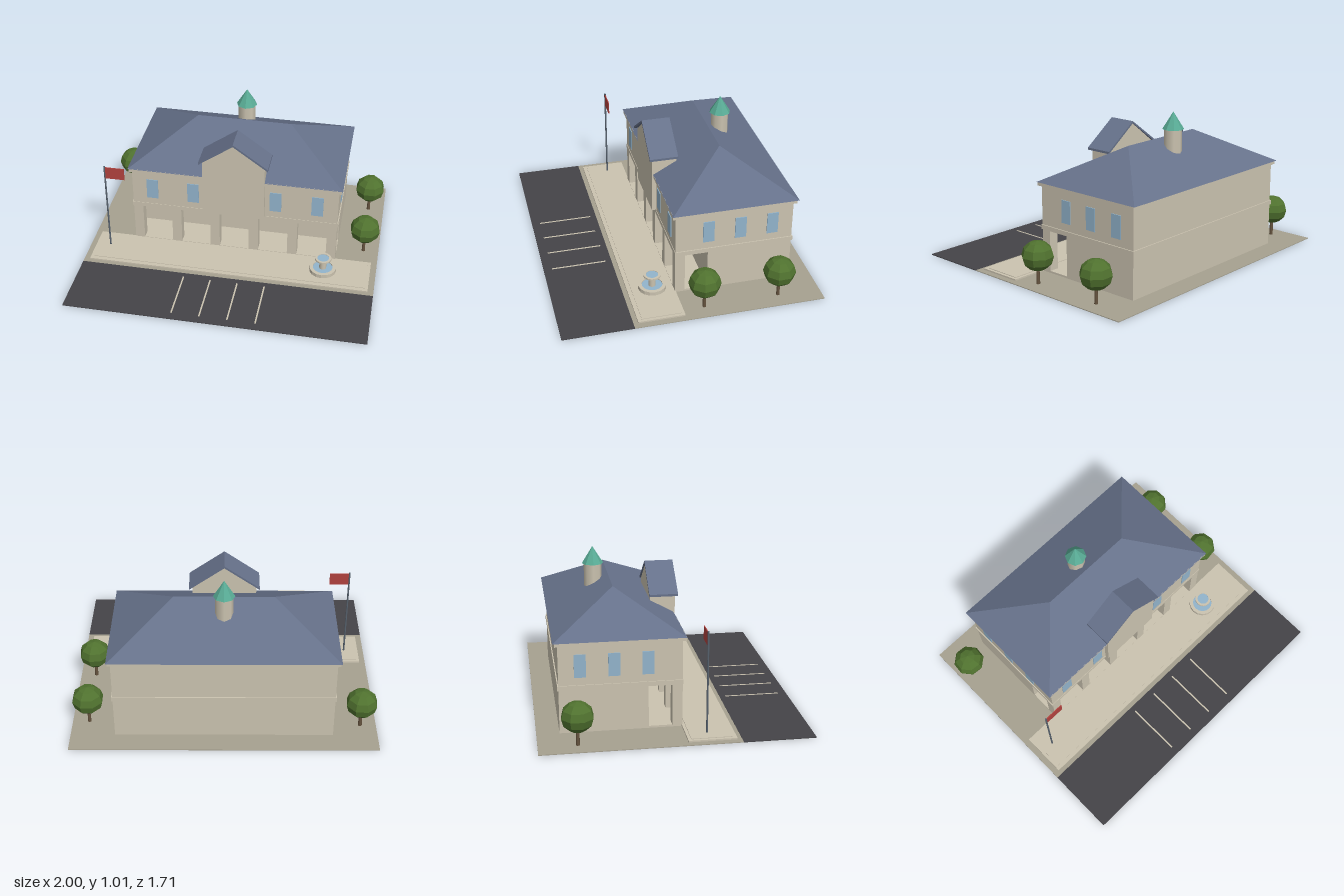
import * as THREE from 'three';

const mat = (name, color, extra = {}) => {
  const m = new THREE.MeshStandardMaterial({ color, ...extra });
  m.name = name;
  return m;
};

export function createModel() {
  const root = new THREE.Group();
  root.name = 'townHall';
  const stone = mat('stone', 0xcbc3b0), slate = mat('slate', 0x66718a, { flatShading: true });
  const asphalt = mat('asphalt', 0x454448), ground = mat('ground', 0xa6a190);
  const glass = mat('glass', 0x92b4cc), red = mat('flagRed', 0xb2423e);
  const copper = mat('copper', 0x58aa94, { flatShading: true });
  const leaf = mat('leaf', 0x50722f, { flatShading: true });
  const bark = mat('bark', 0x66543f), steel = mat('steel', 0x596470);

  const add = (name, geo, material, x = 0, y = 0, z = 0, parent = root) => {
    const m = new THREE.Mesh(geo, material);
    m.name = name;
    m.position.set(x, y, z);
    parent.add(m);
    return m;
  };
  // Box given by its limits on each axis
  const box = (name, material, x0, x1, y0, y1, z0, z1, parent = root) =>
    add(name, new THREE.BoxGeometry(x1 - x0, y1 - y0, z1 - z0), material,
      (x0 + x1) / 2, (y0 + y1) / 2, (z0 + z1) / 2, parent);
  const cyl = (name, material, rt, rb, y0, y1, x, z, n, parent = root) =>
    add(name, new THREE.CylinderGeometry(rt, rb, y1 - y0, n), material, x, (y0 + y1) / 2, z, parent);

  // Site: lawn, car park, bay lines and terrace
  box('ground', ground, -1, 1, 0, 0.005, -0.855, 0.395);
  box('carPark', asphalt, -1, 1, 0, 0.006, 0.395, 0.855);
  for (const x of [-0.28, -0.095, 0.09, 0.275])
    box('parkingLine', stone, x - 0.005, x + 0.005, 0.005, 0.008, 0.435, 0.8);
  box('terrace', stone, -0.96, 0.96, 0.004, 0.015, 0.06, 0.365);
  box('terracePaving', stone, -0.94, 0.94, 0.01, 0.019, 0.08, 0.338);
  box('arcadeFloor', stone, -0.71, 0.71, 0.004, 0.018, -0.16, 0.065);

  // Main building
  box('lowerWalls', stone, -0.71, 0.71, 0.004, 0.3, -0.71, -0.15);
  box('upperWalls', stone, -0.71, 0.71, 0.29, 0.59, -0.71, 0.065);
  box('beltCourse', stone, -0.717, 0.717, 0.29, 0.32, -0.717, 0.068);
  box('cornice', stone, -0.727, 0.727, 0.578, 0.604, -0.727, 0.085);
  for (let i = 0; i < 6; i++) {
    const x = -0.677 + i * 0.2708;
    box('arcadePier', stone, x - 0.033, x + 0.033, 0.01, 0.295, 0, 0.065);
  }
  for (const s of [-1, 1]) {
    for (const x of [0.285, 0.57])
      box('frontWindow', glass, s * x - 0.04, s * x + 0.04, 0.37, 0.52, 0.064, 0.07);
    for (const z of [-0.152, -0.363, -0.575])
      box('sideWindow', glass, s * 0.7125 - 0.0035, s * 0.7125 + 0.0035, 0.37, 0.52, z - 0.037, z + 0.037);
  }

  // Hipped roof: four eave corners and two ridge ends
  const ex = 0.735, e = 0.602, zf = 0.088, zb = -0.74;
  const P = [[-ex, e, zf], [ex, e, zf], [ex, e, zb], [-ex, e, zb], [-0.325, 0.83, -0.326], [0.325, 0.83, -0.326]];
  const faces = [[0, 1, 5], [0, 5, 4], [1, 2, 5], [2, 3, 4], [2, 4, 5], [3, 0, 4], [0, 3, 2], [0, 2, 1]];
  const hip = new THREE.BufferGeometry();
  hip.setAttribute('position', new THREE.Float32BufferAttribute(faces.flat().flatMap(i => P[i]), 3));
  hip.computeVertexNormals();
  add('hipRoof', hip, slate);

  // Central gabled bay and its pitched roof
  const extrude = (pts, depth) => new THREE.ExtrudeGeometry(
    new THREE.Shape(pts.map(p => new THREE.Vector2(...p))), { depth, bevelEnabled: false });
  add('gableBay', extrude([[-0.212, 0.325], [0.212, 0.325], [0.212, 0.725], [0, 0.887], [-0.212, 0.725]], 0.165),
    stone, 0, 0, -0.069);
  add('gableRoof', extrude([[-0.235, 0.716], [0, 0.885], [0.235, 0.716], [0.235, 0.731], [0, 0.9], [-0.235, 0.731]], 0.19),
    slate, 0, 0, -0.076);

  // Cupola on the rear slope
  cyl('cupolaDrum', stone, 0.059, 0.059, 0.7, 0.9, 0, -0.423, 8).material = stone;
  cyl('cupolaSpire', copper, 0, 0.071, 0.9, 1.014, 0, -0.423, 8);

  // Flagpole
  cyl('flagpole', steel, 0.006, 0.006, 0.01, 0.68, -0.86, 0.193, 8);
  box('flag', red, -0.855, -0.725, 0.585, 0.672, 0.19, 0.196);

  // Two-tier fountain
  const fountain = new THREE.Group();
  fountain.name = 'fountain';
  fountain.position.set(0.64, 0, 0.2);
  root.add(fountain);
  const ring = (name, pts) => add(name,
    new THREE.LatheGeometry(pts.map(p => new THREE.Vector2(...p)), 16).toNonIndexed(), stone, 0, 0, 0, fountain)
    .geometry.computeVertexNormals();
  ring('fountainBasin', [[0.092, 0.01], [0.092, 0.045], [0.068, 0.045], [0.068, 0.03]]);
  cyl('basinWater', glass, 0.07, 0.07, 0.015, 0.038, 0, 0, 16, fountain);
  cyl('fountainStem', stone, 0.024, 0.024, 0.03, 0.105, 0, 0, 12, fountain);
  ring('fountainBowl', [[0, 0.103], [0.03, 0.105], [0.056, 0.112], [0.056, 0.123], [0.04, 0.123], [0.04, 0.115]]);
  cyl('bowlWater', glass, 0.041, 0.041, 0.114, 0.12, 0, 0, 16, fountain);

  // Trees
  [[-0.895, -0.61], [0.89, -0.575], [0.895, -0.08]].forEach(([x, z], i) => {
    const tree = new THREE.Group();
    tree.name = 'tree';
    tree.position.set(x, 0, z);
    tree.rotation.y = 0.3 + i * 0.9;
    root.add(tree);
    cyl('treeTrunk', bark, 0.01, 0.013, 0.004, 0.13, 0, 0, 6, tree);
    const crown = add('treeCrown', new THREE.SphereGeometry(0.105, 8, 6), leaf, 0, 0.192, 0, tree);
    crown.scale.y = 0.93;
  });
  return root;
}
